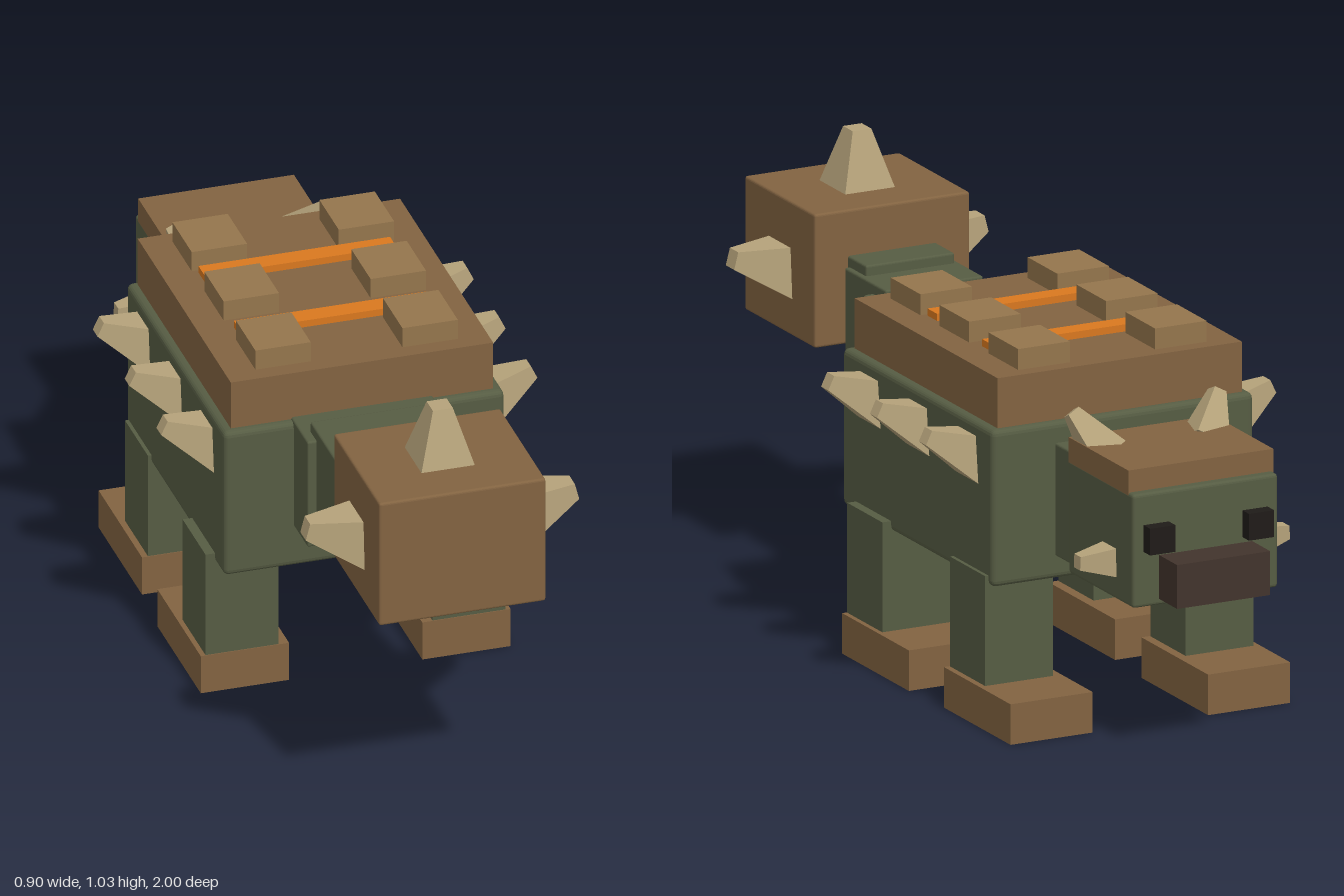
import * as THREE from 'three';
import { RoundedBoxGeometry } from 'three/addons/geometries/RoundedBoxGeometry.js';

const mat = (color) => new THREE.MeshStandardMaterial({ color, flatShading: true });

export function createModel() {
  const model = new THREE.Group();
  const skin = mat(0x565c43), shell = mat(0x826341), plate = mat(0x94754c);
  const bone = mat(0xb5a27a), glow = mat(0xd9781f), snoutDark = mat(0x42342c), black = mat(0x1f1b18);

  function add(name, geometry, material) {
    const mesh = new THREE.Mesh(geometry, material);
    mesh.name = name;
    model.add(mesh);
    return mesh;
  }

  // Box given by its extents on each axis; r rounds the edges slightly
  function block(name, material, [x0, x1], [y0, y1], [z0, z1], r = 0) {
    const size = [x1 - x0, y1 - y0, z1 - z0];
    const geometry = r ? new RoundedBoxGeometry(...size, 2, r) : new THREE.BoxGeometry(...size);
    add(name, geometry, material).position.set((x0 + x1) / 2, (y0 + y1) / 2, (z0 + z1) / 2);
  }

  // Blunt four-sided spike from base to tip, its root sunk into the surface
  function spike(name, base, tip, baseHalf, tipHalf, sink = 0.03) {
    const a = new THREE.Vector3(...base), b = new THREE.Vector3(...tip);
    const dir = b.clone().sub(a), length = dir.length();
    dir.normalize();
    const rootHalf = baseHalf + (baseHalf - tipHalf) * sink / length;
    a.addScaledVector(dir, -sink);
    const geometry = new THREE.CylinderGeometry(tipHalf * Math.SQRT2, rootHalf * Math.SQRT2, length + sink, 4);
    geometry.rotateY(Math.PI / 4);
    const mesh = add(name, geometry, bone);
    mesh.position.copy(a).add(b).multiplyScalar(0.5);
    mesh.quaternion.setFromUnitVectors(new THREE.Vector3(0, 1, 0), dir);
  }

  // Extents mirrored to one side
  const side = (s, a, b) => (s > 0 ? [a, b] : [-b, -a]);

  // Body and back shell
  block('body', skin, [-0.337, 0.337], [0.335, 0.71], [-0.5, 0.25], 0.014);
  block('shell', shell, [-0.315, 0.315], [0.69, 0.83], [-0.482, 0.23]);
  for (const z of [0.007, -0.264]) block('glowStrip', glow, [-0.23, 0.23], [0.82, 0.847], [z - 0.024, z + 0.024]);

  // Tail segments, stepping up to the club
  const tail = [
    [0.17, 0.44, 0.715, 0.2, 0.355],
    [0.148, 0.5, 0.74, 0.305, 0.508],
    [0.126, 0.555, 0.765, 0.44, 0.645],
    [0.114, 0.6, 0.79, 0.56, 0.7],
  ];
  for (const [w, y0, y1, z0, z1] of tail) block('tailSegment', skin, [-w, w], [y0, y1], [z0, z1], 0.005);
  block('tailClub', shell, [-0.2, 0.2], [0.58, 0.9], [0.65, 1], 0.006);
  spike('clubTopSpike', [0, 0.9, 0.825], [0, 1.035, 0.825], 0.064, 0.024);

  // Neck and head
  block('neck', skin, [-0.175, 0.175], [0.39, 0.66], [-0.62, -0.45], 0.005);
  block('head', skin, [-0.187, 0.187], [0.375, 0.647], [-0.91, -0.588], 0.008);
  block('headPlate', shell, [-0.187, 0.187], [0.64, 0.7], [-0.886, -0.588]);
  block('snout', snoutDark, [-0.12, 0.12], [0.39, 0.495], [-1, -0.88]);

  for (const s of [1, -1]) {
    // Legs and feet: the pair under the shoulders stands slightly closer together
    for (const [shift, z] of [[0, 0.18], [-0.014, -0.305]]) {
      block('leg', skin, side(s, 0.185 + shift, 0.36 + shift), [0.09, 0.36], [z - 0.175, z]);
      block('foot', shell, side(s, 0.16 + shift * 0.8, 0.372 + shift * 0.8), [0, 0.097], [z - 0.33, z + 0.002]);
    }
    // Back plates and flank spikes in three rows
    for (const z of [0.115, -0.128, -0.372]) {
      block('backPlate', plate, side(s, 0.11, 0.243), [0.82, 0.88], [z - 0.074, z + 0.074]);
      spike('flankSpike', [s * 0.335, 0.628, z], [s * 0.444, 0.68, z], 0.05, 0.018);
    }
    spike('clubSideSpike', [s * 0.2, 0.733, 0.825], [s * 0.323, 0.765, 0.825], 0.058, 0.021);
    spike('cheekSpike', [s * 0.187, 0.463, -0.792], [s * 0.27, 0.467, -0.792], 0.034, 0.016);
    spike('horn', [s * 0.142, 0.69, -0.645], [s * 0.188, 0.765, -0.605], 0.038, 0.016);
    block('eye', black, side(s, 0.095, 0.16), [0.508, 0.572], [-0.943, -0.906]);
  }
  return model;
}
